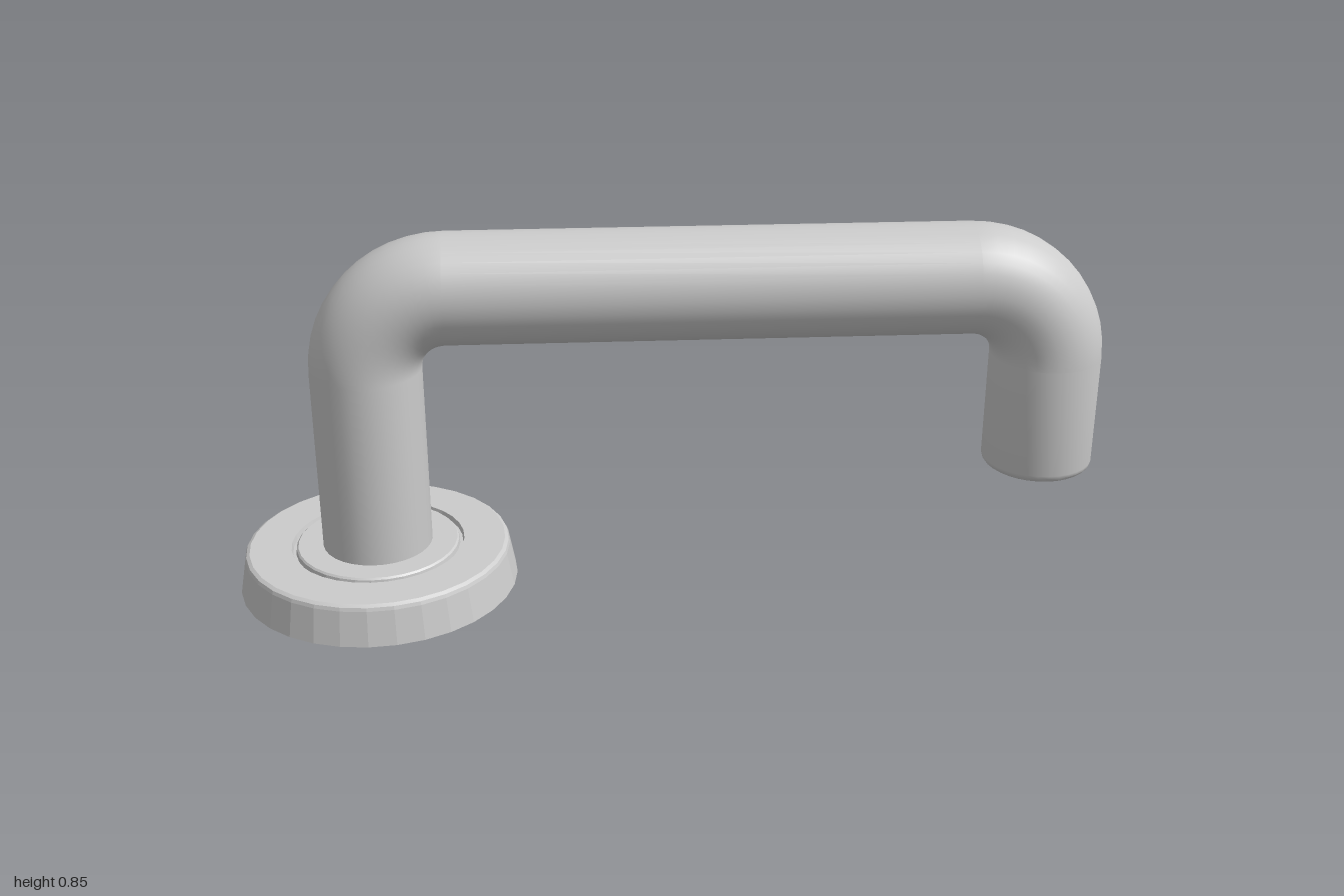
import * as THREE from 'three';
import { toCreasedNormals } from 'three/addons/utils/BufferGeometryUtils.js';

const SIDES = 32;
const TUBE = 0.127;          // bar radius
const BEND = 0.187;          // centre-line radius of both bends
const LEG_X = -0.677, TIP_X = 0.873;
const BAR_Y = 0.72, BEND_Y = BAR_Y - BEND;
const BASE_TOP = 0.094;

export function createModel() {
  const model = new THREE.Group();
  model.name = 'leverHandle';
  const material = new THREE.MeshStandardMaterial({ color: 0xcccccc });

  const add = (parent, name, geometry, x, y) => {
    const mesh = new THREE.Mesh(geometry, material);
    mesh.name = name;
    mesh.position.set(x, y, 0);
    parent.add(mesh);
    return mesh;
  };
  const lathe = (profile, crease) => toCreasedNormals(
    new THREE.LatheGeometry(profile.map(([r, y]) => new THREE.Vector2(r, y)), SIDES), crease);

  // Round base plate: tapered wall, softened rim, fine groove around a raised centre
  add(model, 'basePlate', lathe([
    [0, 0], [0.323, 0], [0.308, 0.081], [0.305, 0.089], [0.297, BASE_TOP],
    [0.201, BASE_TOP], [0.198, 0.082], [0.191, 0.082], [0.189, 0.093],
    [0.185, 0.097], [0, 0.097],
  ], 0.15), LEG_X, 0);

  const handle = new THREE.Group();
  handle.name = 'handle';
  model.add(handle);

  // Upright leg rising from the base
  const legHeight = BEND_Y - 0.09;
  add(handle, 'leg', new THREE.CylinderGeometry(TUBE, TUBE, legHeight, SIDES, 1, true),
    LEG_X, 0.09 + legHeight / 2);

  // Quarter-turn bends
  const bend = new THREE.TorusGeometry(BEND, TUBE, SIDES, 12, Math.PI / 2);
  add(handle, 'legBend', bend, LEG_X + BEND, BEND_Y).rotation.z = Math.PI / 2;
  add(handle, 'tipBend', bend, TIP_X - BEND, BEND_Y);

  // Horizontal grip
  const gripLength = TIP_X - LEG_X - 2 * BEND;
  add(handle, 'grip', new THREE.CylinderGeometry(TUBE, TUBE, gripLength, SIDES, 1, true),
    (LEG_X + TIP_X) / 2, BAR_Y).rotation.z = Math.PI / 2;

  // Downturned tip with a rounded lower edge
  const tipBottom = 0.256, edge = 0.02;
  const profile = [[0, tipBottom]];
  for (let i = 0; i <= 4; i++) {
    const a = (i / 4) * Math.PI / 2;
    profile.push([TUBE - edge + edge * Math.sin(a), tipBottom + edge - edge * Math.cos(a)]);
  }
  profile.push([TUBE, BEND_Y]);
  add(handle, 'tip', lathe(profile, 0.5), TIP_X, 0);

  return model;
}
